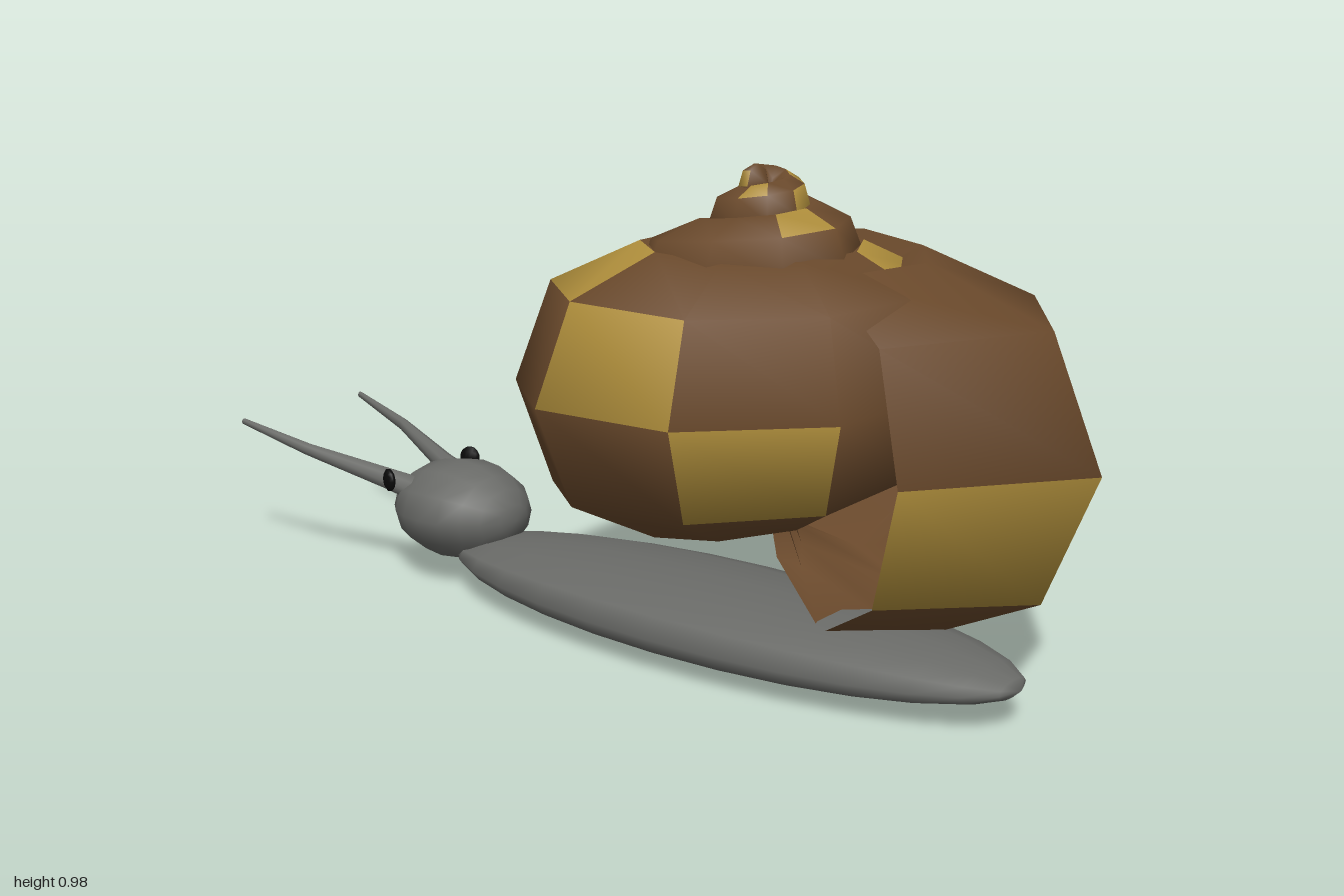
import * as THREE from 'three';

const mat = (color, side = THREE.FrontSide) => new THREE.MeshStandardMaterial({ color, side });

// Skin a list of rings (each with the same number of points). Faces chosen by
// pick(i, j) go into a second geometry that shares the smooth normals.
function loft(rings, pick = () => false) {
  const n = rings[0].length, pos = [], main = [], picked = [];
  rings.forEach(r => r.forEach(p => pos.push(p.x, p.y, p.z)));
  for (let i = 0; i < rings.length - 1; i++) {
    for (let j = 0; j < n; j++) {
      const k = (j + 1) % n;
      const a = i * n + j, b = a + n, c = i * n + k, d = c + n;
      (pick(i, j) ? picked : main).push(a, b, c, b, d, c);
    }
  }
  const whole = new THREE.BufferGeometry();
  whole.setAttribute('position', new THREE.Float32BufferAttribute(pos, 3));
  whole.setIndex([...main, ...picked]);
  whole.computeVertexNormals();
  const part = index => {
    const g = new THREE.BufferGeometry();
    g.setAttribute('position', whole.attributes.position);
    g.setAttribute('normal', whole.attributes.normal);
    g.setIndex(index);
    return g;
  };
  return [part(main), part(picked)];
}

// Coiled shell: stations are [angle in degrees, outer radius, half height, centre y]
const COIL = [
  [115, 0.47, 0.335, 0.46], [79, 0.66, 0.36, 0.455], [45, 0.62, 0.345, 0.475], [9, 0.57, 0.33, 0.5],
  [-30, 0.54, 0.315, 0.51], [-72, 0.52, 0.305, 0.52], [-114, 0.505, 0.29, 0.535], [-153, 0.47, 0.275, 0.55],
  [-194, 0.445, 0.26, 0.56], [-233, 0.436, 0.25, 0.575], [-350, 0.35, 0.2, 0.64], [-540, 0.23, 0.115, 0.775],
  [-720, 0.16, 0.09, 0.835], [-900, 0.1, 0.07, 0.875], [-1080, 0.07, 0.05, 0.925], [-1260, 0.05, 0.04, 0.945],
];
const OUTER_STATIONS = 10;

function coilAt(angle) {
  let i = 0;
  while (i < COIL.length - 2 && angle < COIL[i + 1][0]) i++;
  const a = COIL[i], b = COIL[i + 1], t = (angle - a[0]) / (b[0] - a[0]);
  return a.map((v, k) => v + (b[k] - v) * t);
}

function makeShell() {
  const stations = COIL.slice(0, OUTER_STATIONS);
  for (let angle = -272; angle > -1260; angle -= 39) stations.push(coilAt(angle));
  const last = stations[stations.length - 1];
  stations.push([last[0] - 39, 0.001, 0.001, last[3]]);

  const rings = stations.map(([deg, R, h, y]) => {
    const phi = THREE.MathUtils.degToRad(deg);
    // the axis leans slightly towards the apex
    const lean = THREE.MathUtils.clamp((y - 0.6) / 0.35, 0, 1);
    const ax = -0.07 - 0.03 * lean, az = 0.35 + 0.025 * lean;
    return Array.from({ length: 8 }, (_, j) => {
      const s = j * Math.PI / 4, r = R * (0.49 + 0.51 * Math.cos(s));
      return new THREE.Vector3(ax + r * Math.cos(phi), y + h * Math.sin(s), az + r * Math.sin(phi));
    });
  });

  // scattered golden patches, station-side
  const patches = new Set(['0-7', '1-6', '2-1', '3-0', '4-7', '6-1', '7-0', '8-7', '10-1', '14-1',
    '18-1', '20-0', '22-1', '24-0', '26-1', '28-0', '29-1', '31-0', '33-1', '34-0']);
  const [plain, gold] = loft(rings, (i, j) => patches.has(`${i}-${j}`));
  const shell = new THREE.Group();
  shell.name = 'shell';
  const whorls = new THREE.Mesh(plain, mat(0x6b4a2c, THREE.DoubleSide));
  whorls.name = 'shellWhorls';
  const spots = new THREE.Mesh(gold, mat(0xb08f3c, THREE.DoubleSide));
  spots.name = 'shellPatches';
  shell.add(whorls, spots);
  return shell;
}

// Ellipsoid with its poles on the z axis
function ellipsoid(name, material, [x, y, z], [rx, ry, rz], around = 12, along = 10) {
  const g = new THREE.SphereGeometry(1, around, along);
  g.rotateX(Math.PI / 2);
  g.scale(rx, ry, rz);
  const mesh = new THREE.Mesh(g, material);
  mesh.name = name;
  mesh.position.set(x, y, z);
  return mesh;
}

export function createModel() {
  const model = new THREE.Group();
  model.name = 'snail';
  const skin = mat(0x6a6b68), black = mat(0x0a0a0a);
  const midX = -0.08;

  model.add(makeShell());

  // Flat foot and head
  model.add(ellipsoid('foot', skin, [midX, 0.077, 0.24], [0.225, 0.074, 0.69], 12, 14));
  model.add(ellipsoid('head', skin, [midX, 0.157, -0.465], [0.14, 0.11, 0.165]));

  for (const [side, label] of [[1, 'left'], [-1, 'right']]) {
    // Tapered, slightly bent stalk: [offset x, y, z, radius]
    const path = [[0.07, 0.2, -0.53, 0.03], [0.085, 0.215, -0.6, 0.025], [0.15, 0.265, -0.81, 0.014],
      [0.18, 0.307, -0.995, 0.007], [0.18, 0.307, -1, 0.001]];
    const rings = path.map(([x, y, z, r]) => Array.from({ length: 8 }, (_, j) => {
      const s = j * Math.PI / 4;
      return new THREE.Vector3(midX + side * x + r * Math.cos(s), y + r * Math.sin(s), z);
    }));
    const stalk = new THREE.Mesh(loft(rings)[0], skin);
    stalk.name = label + 'Tentacle';
    model.add(stalk);

    // Eye, a flattened bead on the side of the head
    const eye = ellipsoid(label + 'Eye', black, [midX + side * 0.127, 0.23, -0.565], [0.011, 0.026, 0.024], 10, 8);
    eye.rotation.y = side * 0.35;
    model.add(eye);
  }
  return model;
}
